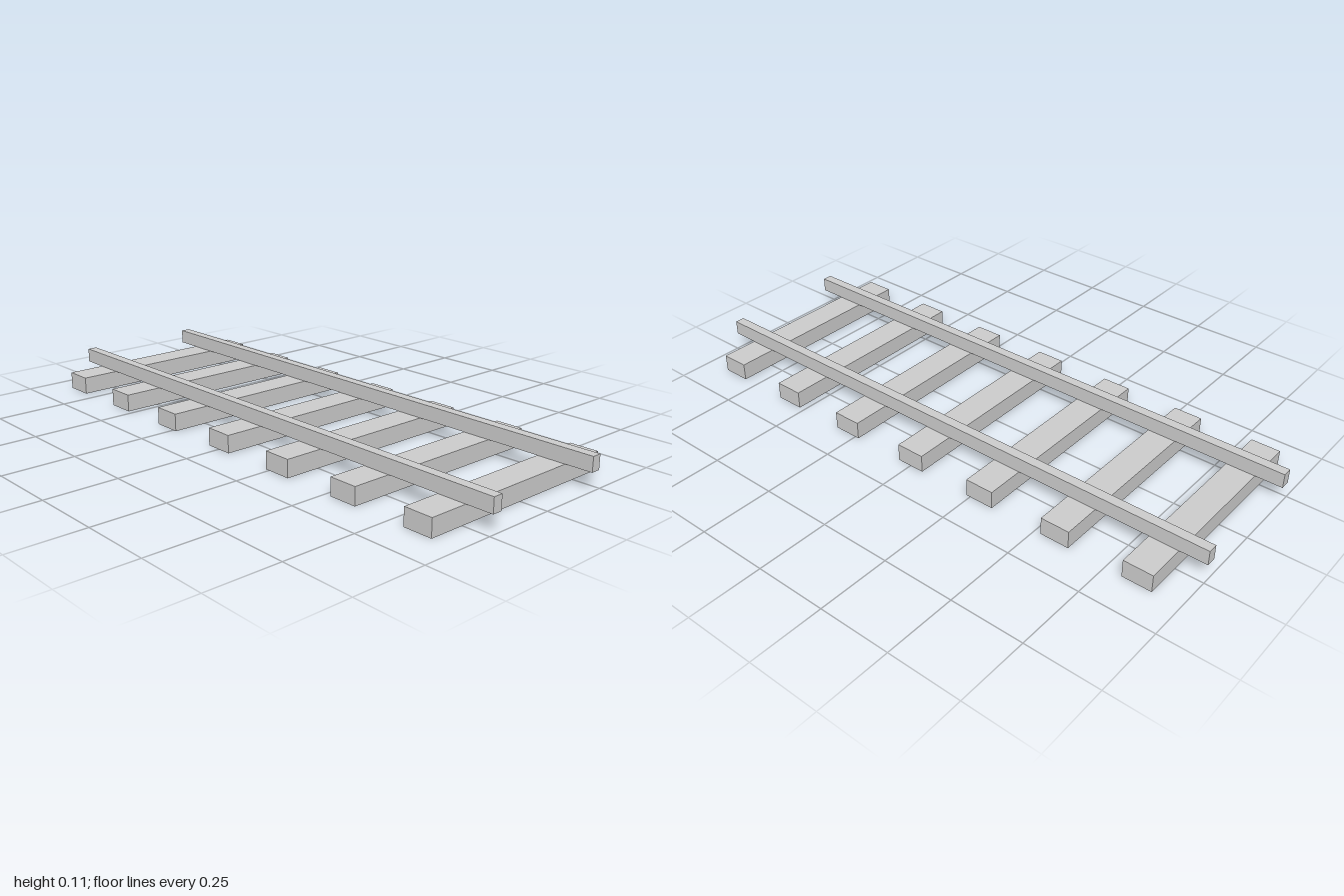
import * as THREE from 'three';

const TIE = { count: 7, width: 0.746, height: 0.06, depth: 0.1, spacing: 2 / 7 };
const RAIL = { width: 0.034, height: 0.05, length: 2, offset: 0.223 };

export function createModel() {
  const track = new THREE.Group();
  track.name = 'railwayTrack';
  const material = new THREE.MeshStandardMaterial({ color: 0xcccccc });

  const addPart = (name, geometry, x, y, z) => {
    const mesh = new THREE.Mesh(geometry, material);
    mesh.name = name;
    mesh.position.set(x, y, z);
    track.add(mesh);
  };

  // Evenly spaced cross ties resting on the ground
  const tieGeometry = new THREE.BoxGeometry(TIE.width, TIE.height, TIE.depth);
  for (let i = 0; i < TIE.count; i++) {
    const z = (i - (TIE.count - 1) / 2) * TIE.spacing;
    addPart(`tie${i + 1}`, tieGeometry, 0, TIE.height / 2, z);
  }

  // Pair of rails lying on the ties
  const railGeometry = new THREE.BoxGeometry(RAIL.width, RAIL.height, RAIL.length);
  const railY = TIE.height + RAIL.height / 2;
  addPart('leftRail', railGeometry, RAIL.offset, railY, 0);
  addPart('rightRail', railGeometry, -RAIL.offset, railY, 0);

  return track;
}
